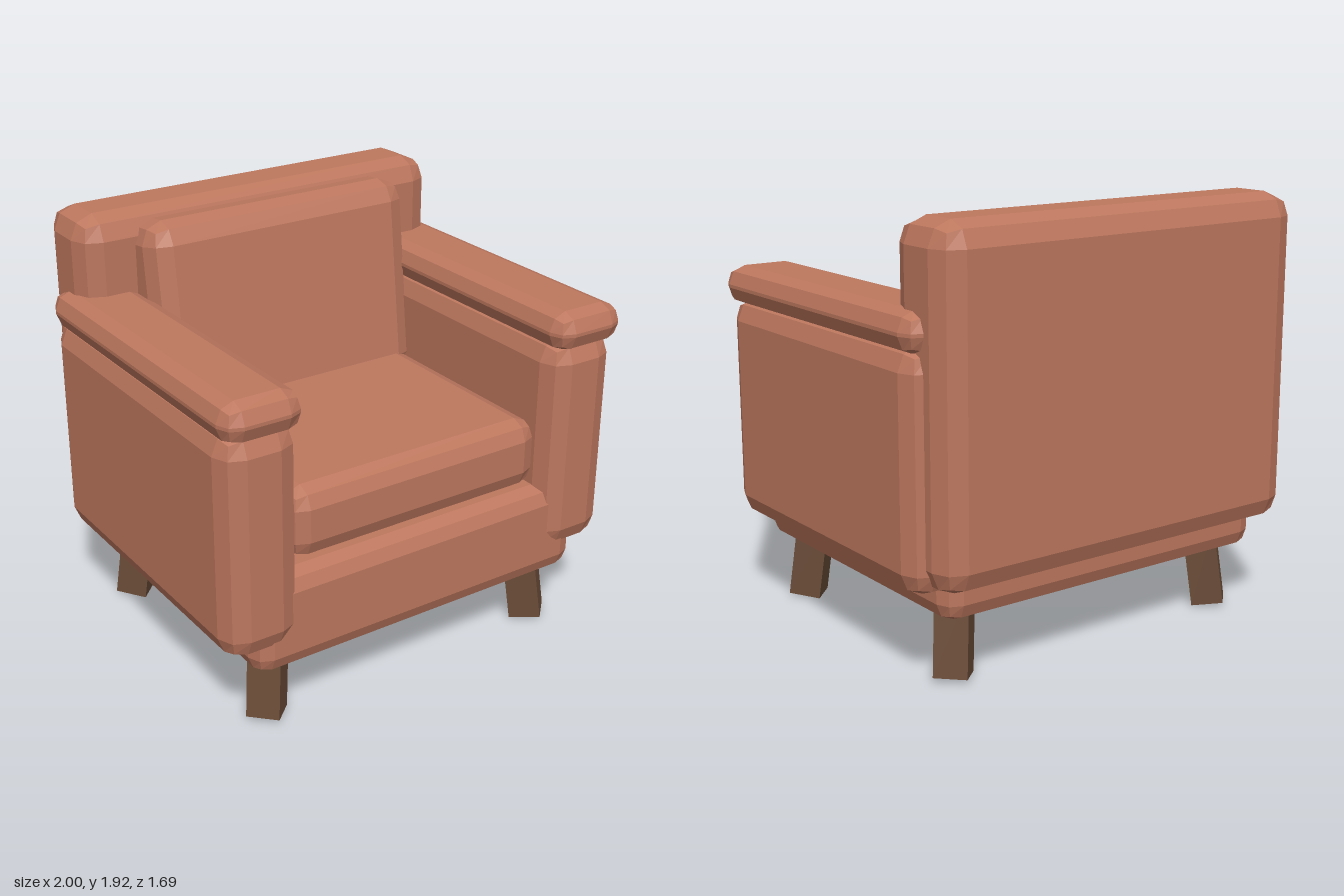
import * as THREE from 'three';
import { RoundedBoxGeometry } from 'three/addons/geometries/RoundedBoxGeometry.js';

export function createModel() {
  const chair = new THREE.Group();
  chair.name = 'armchair';

  const leather = new THREE.MeshStandardMaterial({ color: 0xbd775e, flatShading: true });
  leather.name = 'terracotta leather';
  const wood = new THREE.MeshStandardMaterial({ color: 0x6b4c38, flatShading: true });
  wood.name = 'dark wood';

  // Padded block given by its [min, max] extents, with two-facet rounded edges
  function pad(name, [x0, x1], [y0, y1], [z0, z1], radius) {
    const geometry = new RoundedBoxGeometry(x1 - x0, y1 - y0, z1 - z0, 1, radius);
    const mesh = new THREE.Mesh(geometry, leather);
    mesh.name = name;
    mesh.position.set((x0 + x1) / 2, (y0 + y1) / 2, (z0 + z1) / 2);
    chair.add(mesh);
    return mesh;
  }

  // Frame and seat
  pad('base', [-0.85, 0.85], [0.29, 0.735], [-0.73, 0.785], 0.08);
  pad('backrest', [-0.93, 0.93], [0.44, 1.92], [-0.845, -0.47], 0.105);
  pad('seatCushion', [-0.645, 0.645], [0.745, 1.065], [-0.5, 0.738], 0.085);

  // Back cushion, leaning against the backrest
  const backCushion = pad('backCushion', [-0.675, 0.675], [0.932, 1.882], [-0.562, -0.262], 0.1);
  backCushion.rotation.x = -0.12;

  // Arms with overhanging rests
  for (const [side, s] of [['left', 1], ['right', -1]]) {
    const span = (a, b) => (s > 0 ? [a, b] : [-b, -a]);
    pad(side + 'Arm', span(0.64, 0.992), [0.415, 1.43], [-0.715, 0.81], 0.1);
    pad(side + 'Armrest', span(0.635, 1.0), [1.395, 1.57], [-0.71, 0.845], 0.08);
  }

  // Square legs, turned to face the corners and splayed outward
  const legGeometry = new THREE.BoxGeometry(0.145, 0.38, 0.145).translate(0, 0.19, 0);
  for (const sx of [1, -1]) {
    for (const [end, sz, z] of [['front', 1, 0.632], ['back', -1, -0.578]]) {
      const mount = new THREE.Group();
      mount.name = end + (sx > 0 ? 'Left' : 'Right') + 'Leg';
      mount.position.set(sx * 0.722, 0.01, z);
      mount.rotation.y = Math.atan2(sx, sz);
      const leg = new THREE.Mesh(legGeometry, wood);
      leg.name = 'leg';
      leg.rotation.x = -0.14;
      mount.add(leg);
      chair.add(mount);
    }
  }
  return chair;
}
